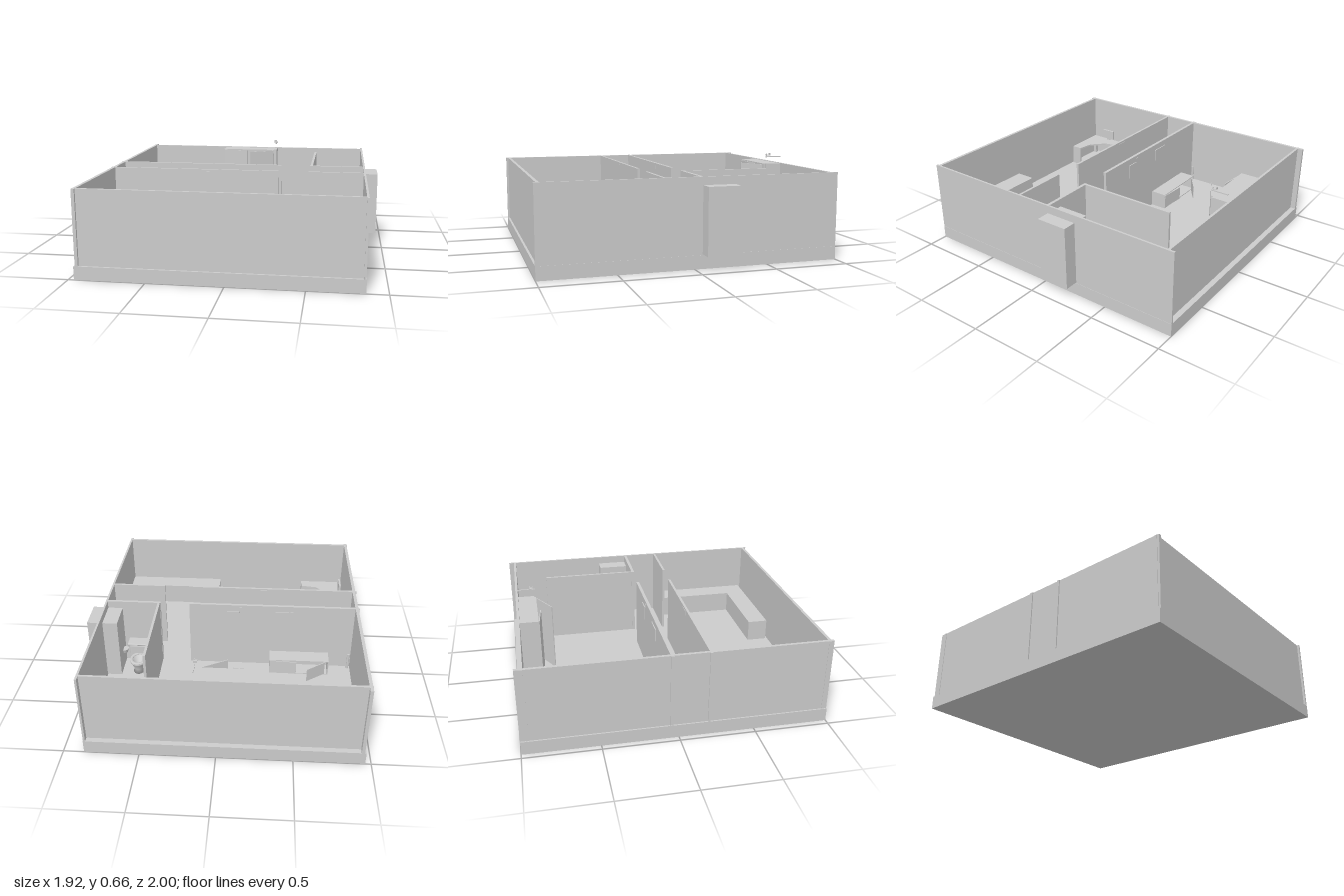
import * as THREE from 'three';
import { RoundedBoxGeometry } from 'three/addons/geometries/RoundedBoxGeometry.js';

const FLOOR = 0.09, TOP = 0.588;

export function createModel() {
  const house = new THREE.Group();
  house.name = 'house';
  const grey = new THREE.MeshStandardMaterial({ color: 0xcccccc, side: THREE.DoubleSide });

  const add = (name, geometry, parent = house) => {
    const mesh = new THREE.Mesh(geometry, grey);
    mesh.name = name;
    parent.add(mesh);
    return mesh;
  };
  // Box given by its limits on each axis
  const box = (name, x0, x1, y0, y1, z0, z1, parent) => {
    const mesh = add(name, new THREE.BoxGeometry(x1 - x0, y1 - y0, z1 - z0), parent);
    mesh.position.set((x0 + x1) / 2, (y0 + y1) / 2, (z0 + z1) / 2);
    return mesh;
  };
  const wall = (name, x0, x1, z0, z1) => box(name, x0, x1, FLOOR, TOP, z0, z1);
  // Upright panel between two points on the floor plan
  const panel = (name, ax, az, bx, bz, y0, y1, parent) => {
    const mesh = add(name, new THREE.BoxGeometry(Math.hypot(bx - ax, bz - az), y1 - y0, 0.006), parent);
    mesh.position.set((ax + bx) / 2, (y0 + y1) / 2, (az + bz) / 2);
    mesh.rotation.y = -Math.atan2(bz - az, bx - ax);
    return mesh;
  };
  // Flat outline in x, z raised from y0 to y1
  const slab = (name, points, y0, y1, parent) => {
    const shape = new THREE.Shape(points.map(([x, z]) => new THREE.Vector2(x, -z)));
    const mesh = add(name, new THREE.ExtrudeGeometry(shape, { depth: y1 - y0, bevelEnabled: false }), parent);
    mesh.rotation.x = -Math.PI / 2;
    mesh.position.y = y0;
    return mesh;
  };
  const group = (name) => {
    const g = new THREE.Group();
    g.name = name;
    house.add(g);
    return g;
  };

  // Foundation and outer walls
  box('foundation', -0.962, 0.863, 0, FLOOR, -1, 1);
  wall('rightWall', 0.847, 0.861, -1, 1);
  for (const [z0, z1] of [[-1, -0.058], [-0.037, 0.19], [0.207, 1]]) wall('leftWall', -0.952, -0.931, z0, z1);
  wall('backWall', -0.955, 0.847, -0.963, -0.946);
  wall('frontWall', -0.955, 0.847, 0.965, 0.985);

  // Corridor walls with a doorway in each, and the bathroom wall
  for (const [z0, z1] of [[-0.058, -0.037], [0.19, 0.207]]) {
    wall('corridorWall', -0.96, 0.255, z0, z1);
    wall('corridorWall', 0.465, 0.847, z0, z1);
  }
  wall('bathroomWall', 0.468, 0.485, -0.725, -0.058);

  // Shaft passing through the outer wall
  box('shaft', 0.743, 0.955, 0.095, 0.535, -0.27, -0.052);

  // Cupboards: hollow case, open at the front, with one door ajar and one wide open
  const cupboard = (name, x0, x1, back, front, h) => {
    const g = group(name), t = 0.006;
    const z0 = Math.min(back, front), z1 = Math.max(back, front);
    box('cupboardTop', x0, x1, h - t, h, z0, z1, g);
    box('cupboardFloor', x0, x1, FLOOR, FLOOR + t, z0, z1, g);
    box('cupboardSide', x0, x0 + t, FLOOR, h, z0, z1, g);
    box('cupboardSide', x1 - t, x1, FLOOR, h, z0, z1, g);
    box('cupboardBack', x0, x1, FLOOR, h, Math.min(back, back + t), Math.max(back, back + t), g);
    return g;
  };
  const wardrobe = cupboard('wardrobe', -0.303, 0.12, -0.945, -0.818, 0.585);
  panel('wardrobeDoor', -0.3, -0.817, -0.1, -0.797, 0.1, 0.578, wardrobe);
  const openDoor = panel('wardrobeDoor', 0.115, -0.815, -0.063, -0.717, 0.1, 0.578, wardrobe);
  box('doorHandle', -0.075, -0.065, -0.02, 0.03, -0.01, 0.01, openDoor);
  box('wardrobeSidePanel', 0.12, 0.142, FLOOR, 0.585, -0.945, -0.83, wardrobe);

  const lowCupboard = cupboard('lowCupboard', -0.765, -0.335, -0.064, -0.175, 0.205);
  panel('cupboardDoor', -0.735, -0.177, -0.605, -0.273, 0.1, 0.2, lowCupboard);
  panel('cupboardDoor', -0.53, -0.19, -0.335, -0.177, 0.1, 0.2, lowCupboard);

  // Small bracket above the wardrobe
  const bracket = group('bracket');
  box('bracketRail', 0.133, 0.143, 0.634, 0.641, -0.945, -0.825, bracket);
  box('bracketPlate', 0.12, 0.143, 0.648, 0.664, -0.862, -0.858, bracket);
  box('bracketArm', 0.12, 0.143, 0.648, 0.652, -0.862, -0.83, bracket);
  box('bracketPost', 0.133, 0.14, 0.641, 0.66, -0.836, -0.832, bracket);

  box('nightstand', -0.89, -0.752, FLOOR, 0.205, -0.945, -0.77);

  // Kitchen counter along the right and front walls
  slab('counter', [[0.69, 0.207], [0.845, 0.207], [0.845, 0.95], [0.1, 0.95], [0.1, 0.805], [0.69, 0.805]], FLOOR, 0.245);

  // Bed with headboard, pillow and foot posts
  const bed = group('bed');
  box('bedFrame', -0.93, -0.45, 0.1, 0.15, 0.22, 0.6, bed);
  box('headboard', -0.93, -0.915, FLOOR, 0.24, 0.215, 0.605, bed);
  add('mattress', new RoundedBoxGeometry(0.49, 0.07, 0.39, 4, 0.025), bed).position.set(-0.685, 0.175, 0.41);
  const pillow = add('pillow', new THREE.SphereGeometry(1, 24, 16), bed);
  pillow.scale.set(0.07, 0.025, 0.12);
  pillow.position.set(-0.85, 0.21, 0.41);
  for (const z of [0.228, 0.585]) {
    add('bedPost', new THREE.CylinderGeometry(0.014, 0.014, 0.1, 12), bed).position.set(-0.448, 0.14, z);
  }

  // Corner desk on end panels, with a screen
  const desk = group('cornerDesk');
  slab('deskTop', [[-0.915, 0.635], [-0.835, 0.635], [-0.81, 0.76], [-0.715, 0.855], [-0.595, 0.875],
    [-0.595, 0.957], [-0.915, 0.957]], 0.232, 0.245, desk);
  box('deskLeg', -0.915, -0.837, FLOOR, 0.232, 0.635, 0.645, desk);
  box('deskLeg', -0.605, -0.595, FLOOR, 0.232, 0.877, 0.957, desk);
  box('deskLeg', -0.915, -0.89, FLOOR, 0.232, 0.932, 0.957, desk);
  box('screen', -0.912, -0.896, 0.255, 0.33, 0.745, 0.853, desk);
  box('screenStand', -0.912, -0.896, 0.245, 0.255, 0.785, 0.813, desk);

  // Toilet: bowl, seat ring and cistern
  const toilet = group('toilet');
  const bowl = add('toiletBowl', new THREE.LatheGeometry(
    [[0, 0], [0.04, 0], [0.034, 0.035], [0.058, 0.085], [0.062, 0.1], [0.042, 0.1], [0.025, 0.06], [0, 0.055]]
      .map(([r, y]) => new THREE.Vector2(r, y)), 32), toilet);
  bowl.scale.z = 1.25;
  bowl.position.set(0.625, FLOOR, -0.202);
  const seat = add('toiletSeat', new THREE.TorusGeometry(0.052, 0.012, 8, 32), toilet);
  seat.rotation.x = Math.PI / 2;
  seat.scale.set(1, 1.27, 0.5);
  seat.position.set(0.625, 0.193, -0.202);
  add('cistern', new RoundedBoxGeometry(0.15, 0.11, 0.08, 3, 0.015), toilet).position.set(0.625, 0.215, -0.103);
  add('cisternLid', new RoundedBoxGeometry(0.17, 0.016, 0.092, 3, 0.007), toilet).position.set(0.625, 0.276, -0.105);
  const roll = add('paperRoll', new THREE.CylinderGeometry(0.018, 0.018, 0.04, 20));
  roll.position.set(0.524, 0.2, -0.127);
  add('basin', new THREE.CylinderGeometry(0.03, 0.02, 0.03, 20)).position.set(0.735, 0.22, -0.135);

  // Pictures on the corridor wall and small vents near the wall tops
  box('picture', -0.495, -0.362, 0.46, 0.545, -0.064, -0.058);
  box('picture', -0.105, -0.018, 0.44, 0.54, -0.064, -0.058);
  box('vent', -0.3, -0.225, 0.54, 0.575, 0.187, 0.21);
  box('vent', -0.135, -0.105, 0.545, 0.57, -0.061, -0.034);
  add('cornerLamp', new THREE.CylinderGeometry(0.009, 0.009, 0.12, 16)).position.set(-0.914, 0.15, -0.078);

  return house;
}
